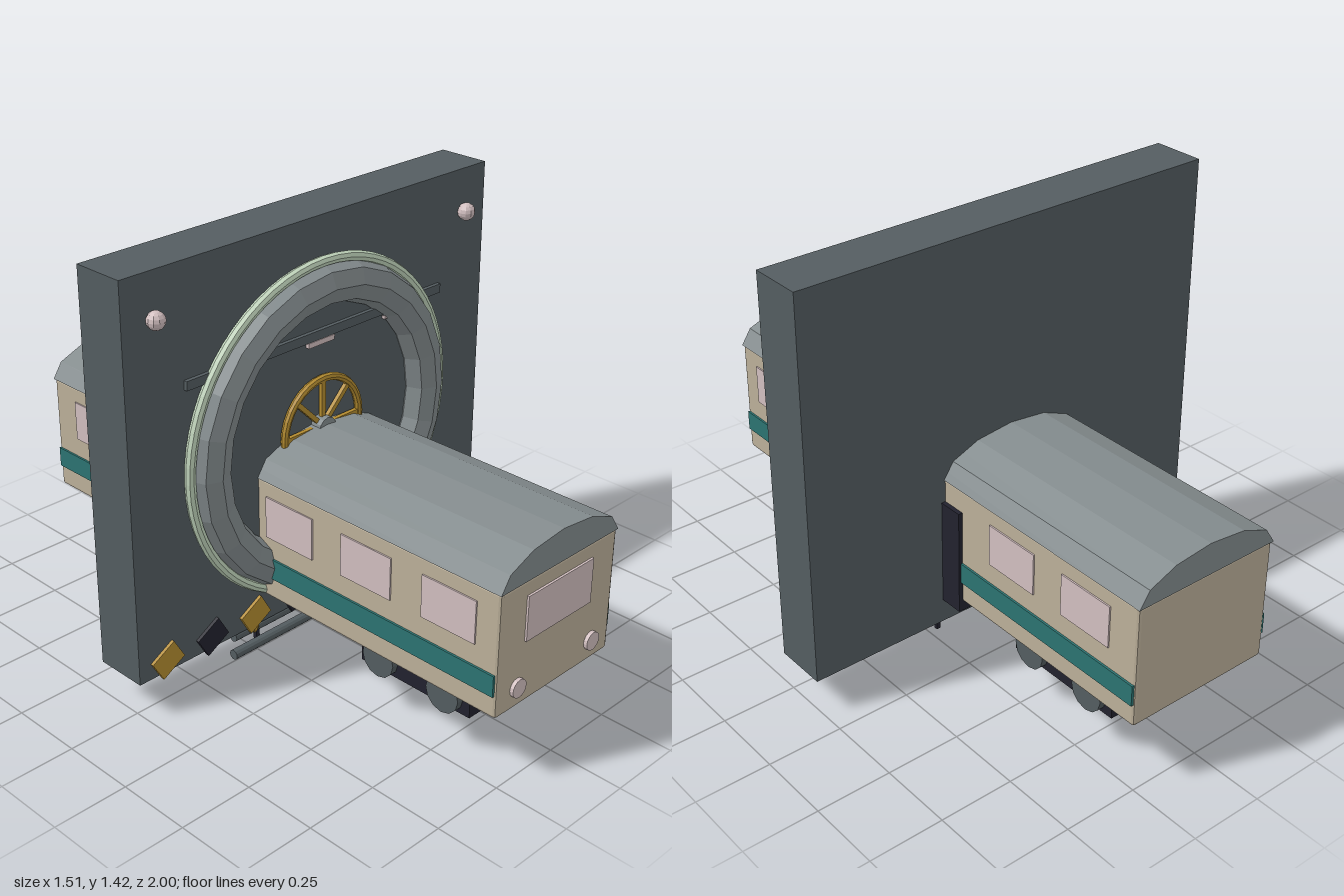
import * as THREE from 'three';
import { RoundedBoxGeometry } from 'three/addons/geometries/RoundedBoxGeometry.js';

const colour = (name, color) => {
  const m = new THREE.MeshStandardMaterial({ color, flatShading: true });
  m.name = name;
  return m;
};

export function createModel() {
  const slate = colour('slate', 0x545d61);
  const steel = colour('steel', 0x848c8e);
  const cream = colour('cream', 0xbcb09a);
  const teal = colour('teal', 0x2c7472);
  const pink = colour('pale pink glass', 0xd2bfc0);
  const gold = colour('gold', 0xb48c30);
  const navy = colour('navy', 0x22222e);
  const mint = colour('mint', 0xc2d6bd);

  const root = new THREE.Group();
  root.name = 'trainThroughPortal';
  const add = (name, geo, mat, x = 0, y = 0, z = 0, parent = root) => {
    const m = new THREE.Mesh(geo, mat);
    m.name = name;
    m.position.set(x, y, z);
    parent.add(m);
    return m;
  };
  const box = (w, h, d) => new THREE.BoxGeometry(w, h, d);
  const rod = (r, len, sides = 12) => new THREE.CylinderGeometry(r, r, len, sides);

  // Portal wall with corner lamps
  add('wall', box(1.514, 1.3, 0.18), slate, 0, 0.77, -0.06);
  for (const s of [-1, 1])
    add('cornerLamp', new THREE.SphereGeometry(0.029, 10, 8), pink, s * 0.65, 1.28, 0.05);

  // Round portal: faceted ring and fine outer rim
  add('portalRing', new THREE.TorusGeometry(0.47, 0.07, 8, 24), steel, 0, 0.735, 0.035);
  add('portalRim', new THREE.TorusGeometry(0.545, 0.017, 8, 64), mint, 0, 0.735, 0.045);

  // Light bar with three lamps
  add('lightBar', box(1.085, 0.03, 0.014), slate, 0, 1.044, 0.036);
  for (const x of [-0.335, 0, 0.335])
    add('barLamp', box(0.11, 0.017, 0.014), pink, x, 1.019, 0.036);

  // Spoked wheel behind the train
  const wheel = new THREE.Group();
  wheel.name = 'spokedWheel';
  wheel.position.set(0, 0.735, 0.045);
  root.add(wheel);
  add('wheelRim', new THREE.TorusGeometry(0.162, 0.013, 8, 32), gold, 0, 0, 0, wheel);
  for (let i = 0; i < 4; i++)
    add('wheelSpoke', box(0.32, 0.016, 0.014), gold, 0, 0, 0, wheel).rotation.z = i * Math.PI / 4;
  add('wheelHub', rod(0.036, 0.04).rotateX(Math.PI / 2), steel, 0, 0, 0.005, wheel);

  // Tilted warning tiles along the wall's foot
  for (let i = 0; i < 8; i++)
    add('warningTile', box(0.098, 0.08, 0.012), i % 2 ? navy : gold, -0.65 + i * 0.181, 0.165, 0.035)
      .rotation.z = Math.PI / 6;

  // Train body and arched roof
  const train = new THREE.Group();
  train.name = 'train';
  root.add(train);
  add('carBody', new RoundedBoxGeometry(0.52, 0.41, 1.984, 1, 0.01), cream, 0, 0.44, -0.004, train);
  const roof = new THREE.CylinderGeometry(1, 1, 1.988, 6, 1, false, Math.PI / 2, Math.PI);
  roof.rotateX(Math.PI / 2).scale(0.264, 0.107, 1);
  add('roof', roof, steel, 0, 0.641, -0.005, train);

  // Front window and headlights
  add('frontWindow', box(0.294, 0.148, 0.008), pink, 0, 0.52, 0.991, train);
  for (const s of [-1, 1])
    add('headlight', rod(0.03, 0.015, 16).rotateX(Math.PI / 2), pink, s * 0.17, 0.303, 0.9925, train);

  // Side stripes, windows and door frames
  for (const s of [-1, 1]) {
    add('sideStripe', box(0.009, 0.07, 1.97), teal, s * 0.2625, 0.345, -0.005, train);
    for (const z of [0.805, 0.485, 0.165, -0.465, -0.785])
      add('sideWindow', box(0.008, 0.14, 0.2), pink, s * 0.261, 0.52, z, train);
    add('rearTunnelPost', box(0.045, 0.362, 0.085), navy, s * 0.252, 0.383, -0.19);
  }

  // Bogies with four wheels each
  for (const e of [-1, 1]) {
    add('bogie', box(0.4, 0.1, 0.43), navy, 0, 0.188, e * 0.633, train);
    for (const s of [-1, 1])
      for (const z of [0.505, 0.76])
        add('trainWheel', rod(0.062, 0.05).rotateZ(Math.PI / 2), slate, s * 0.198, 0.19, e * z, train);
  }

  // Pipes, clamps and hangers beneath the wall
  for (const y of [0.1, 0.032])
    add('pipe', rod(0.017, 0.72).rotateZ(Math.PI / 2), slate, 0, y, 0.008);
  for (const x of [-0.278, 0.085])
    add('pipeClamp', new THREE.TorusGeometry(0.024, 0.011, 8, 16).rotateY(Math.PI / 2), gold, x, 0.113, 0);
  for (const s of [-1, 1])
    add('hanger', box(0.014, 0.14, 0.014), navy, s * 0.215, 0.07, -0.04);
  add('step', box(0.065, 0.01, 0.08), navy, -0.037, 0.126, 0.062);

  return root;
}
